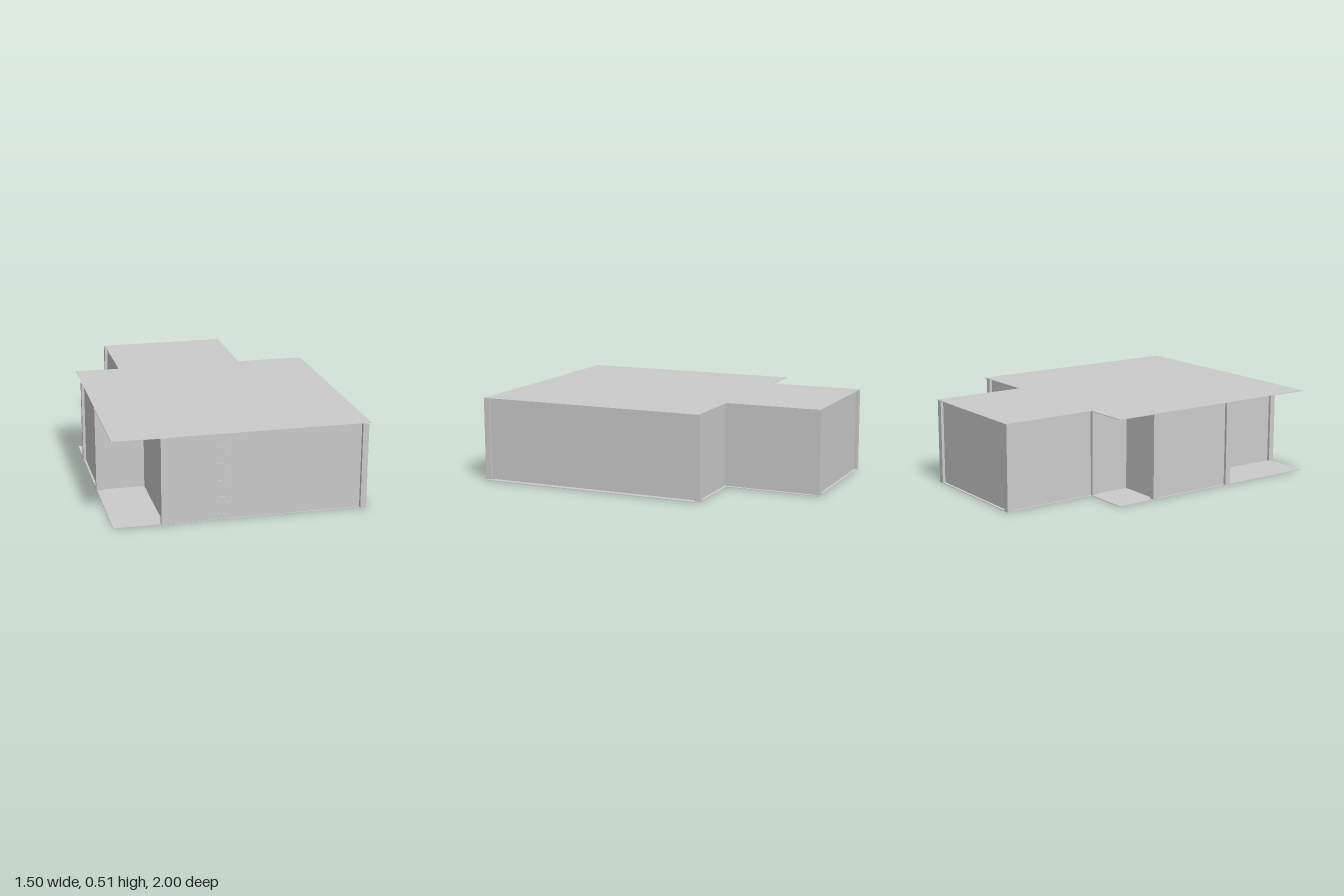
import * as THREE from 'three';

const HEIGHT = 0.51;

export function createModel() {
  const group = new THREE.Group();
  const material = new THREE.MeshStandardMaterial({ color: 0xcccccc, flatShading: true, side: THREE.DoubleSide });
  const add = (name, geometry, x = 0, y = 0, z = 0) => {
    const mesh = new THREE.Mesh(geometry, material);
    mesh.name = name;
    mesh.position.set(x, y, z);
    group.add(mesh);
    return mesh;
  };

  // Paper-thin floor and roof share one stepped plan, as [x, z]
  const plan = [[-0.745, 0.985], [0.745, 0.985], [0.745, -0.42], [0.325, -0.42],
    [0.325, -1], [-0.47, -1], [-0.47, -0.42], [-0.745, -0.42]];
  const plate = new THREE.ExtrudeGeometry(
    new THREE.Shape(plan.map(([x, z]) => new THREE.Vector2(x, -z))),
    { depth: 0.003, bevelEnabled: false });
  plate.rotateX(-Math.PI / 2);
  add('floor', plate);
  add('roof', plate, 0, HEIGHT - 0.003);

  // Thin wall panels follow the rooms, set in from the roof and with a bay on the right
  const t = 0.006;
  const corners = [[0.705, 0.975], [0.705, -0.4], [0.3, -0.4], [0.3, -0.98], [-0.455, -0.98],
    [-0.455, -0.16], [-0.73, -0.16], [-0.73, 0.38], [-0.455, 0.38], [-0.455, 0.975]];
  corners.forEach(([x0, z0], i) => {
    const [x1, z1] = corners[(i + 1) % corners.length];
    add('wall', new THREE.BoxGeometry(Math.abs(x1 - x0) + t, HEIGHT - 0.004, Math.abs(z1 - z0) + t),
      (x0 + x1) / 2, HEIGHT / 2, (z0 + z1) / 2);
  });

  // Square posts stand proud at the outer corners; sx, sz point inward
  const size = 0.035;
  const posts = [[0.725, 1, -1, -1], [0.725, -0.42, -1, 1], [0.315, -1, -1, 1], [-0.475, -1, 1, 1],
    [-0.475, -0.42, 1, 1], [-0.75, -0.18, 1, 1], [-0.75, 0.4, 1, -1], [-0.475, 1, 1, -1]];
  for (const [x, z, sx, sz] of posts) {
    add('post', new THREE.BoxGeometry(size, HEIGHT - 0.004, size),
      x + sx * size / 2, HEIGHT / 2, z + sz * size / 2);
  }

  // Front panel with a toothed joint along its free edge
  const panel = new THREE.Shape();
  panel.moveTo(-0.44, 0.004);
  const teeth = 5, pitch = (HEIGHT - 0.008) / teeth;
  for (let i = 0; i < teeth; i++) {
    const y = 0.004 + i * pitch;
    panel.lineTo(-0.105, y);
    panel.lineTo(-0.105, y + pitch * 0.3);
    panel.lineTo(-0.145, y + pitch * 0.3);
    panel.lineTo(-0.145, y + pitch * 0.75);
    panel.lineTo(-0.085, y + pitch * 0.75);
    panel.lineTo(-0.085, y + pitch);
  }
  panel.lineTo(-0.44, HEIGHT - 0.004);
  add('toothedPanel', new THREE.ExtrudeGeometry(panel, { depth: 0.008, bevelEnabled: false }), 0, 0, 0.976);

  return group;
}
